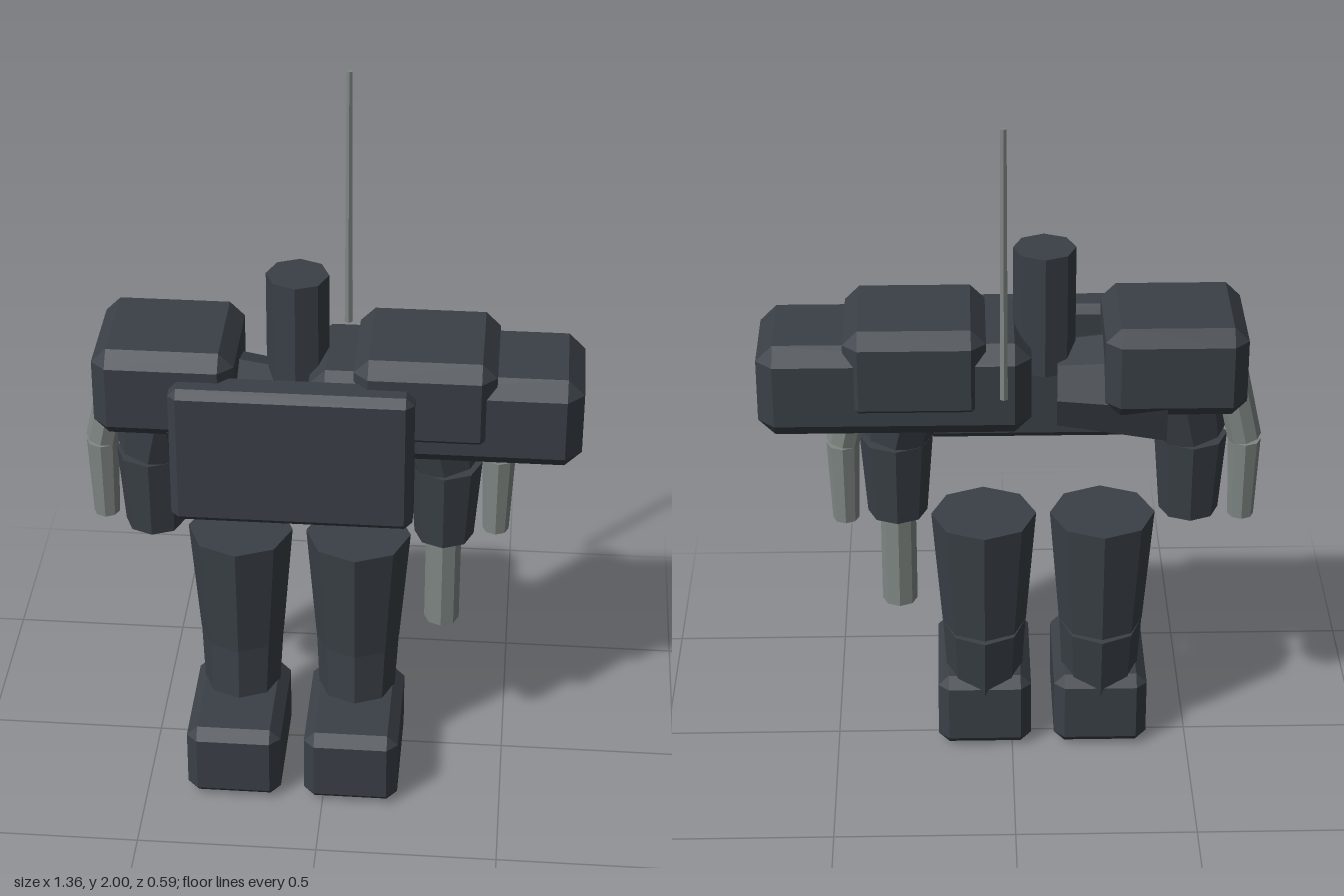
import * as THREE from 'three';
import { ConvexGeometry } from 'three/addons/geometries/ConvexGeometry.js';

const paint = (name, color) => {
  const m = new THREE.MeshStandardMaterial({ color });
  m.name = name;
  return m;
};

export function createModel() {
  const model = new THREE.Group();
  model.name = 'robot';
  const dark = paint('dark slate', 0x3a4047);
  const grey = paint('gunmetal grey', 0x7f8783);
  const red = paint('joint red', 0xb5402f);
  const CX = -0.087; // mirror plane of the body

  const add = (name, geometry, material) => {
    const mesh = new THREE.Mesh(geometry, material);
    mesh.name = name;
    model.add(mesh);
    return mesh;
  };

  // Box given by its limits, every edge cut by a flat bevel c
  const bevelBox = (name, [x0, x1], [y0, y1], [z0, z1], c, material = dark) => {
    const half = [(x1 - x0) / 2, (y1 - y0) / 2, (z1 - z0) / 2];
    const points = [];
    for (const sx of [-1, 1]) for (const sy of [-1, 1]) for (const sz of [-1, 1]) {
      for (let axis = 0; axis < 3; axis++) {
        const p = half.map((h, i) => (i === axis ? h : h - c));
        points.push(new THREE.Vector3(p[0] * sx, p[1] * sy, p[2] * sz));
      }
    }
    add(name, new ConvexGeometry(points), material)
      .position.set((x0 + x1) / 2, (y0 + y1) / 2, (z0 + z1) / 2);
  };

  // Faceted tapered limb between two points
  const limb = (name, from, to, r0, r1, material = dark, sides = 8) => {
    const a = new THREE.Vector3(...from);
    const b = new THREE.Vector3(...to);
    const dir = b.clone().sub(a);
    const geometry = new THREE.CylinderGeometry(r1, r0, dir.length(), sides).toNonIndexed();
    geometry.computeVertexNormals();
    const mesh = add(name, geometry, material);
    mesh.quaternion.setFromUnitVectors(new THREE.Vector3(0, 1, 0), dir.normalize());
    mesh.position.copy(a.add(b).multiplyScalar(0.5));
  };

  // Torso and head
  bevelBox('chestPlate', [-0.413, 0.237], [0.895, 1.305], [0.125, 0.233], 0.022);
  bevelBox('shoulderBeam', [-0.05, 0.68], [1.06, 1.325], [-0.172, 0.162], 0.045);
  limb('collar', [-0.42, 1.14, -0.01], [-0.125, 1.14, 0.005], 0.165, 0.125);
  limb('head', [CX, 1.2, 0], [CX, 1.545, 0], 0.084, 0.084);
  limb('antenna', [0.027, 1.245, -0.285], [0.027, 2, -0.285], 0.012, 0.009, grey, 6);

  for (const s of [-1, 1]) {
    const side = s < 0 ? 'right' : 'left';
    const X = (offset) => CX + s * offset;
    const span = (a, b) => [Math.min(X(a), X(b)), Math.max(X(a), X(b))];

    // Shoulder and arm
    bevelBox(side + 'Shoulder', span(0.158, 0.537), [1.115, 1.372], [-0.182, 0.175], 0.04);
    limb(side + 'UpperArm', [X(0.403), 0.99, 0], [X(0.38), 1.105, 0], 0.098, 0.112);
    limb(side + 'ShoulderJoint', [X(0.38), 1.105, 0], [X(0.365), 1.18, 0], 0.117, 0.12, red);
    limb(side + 'Forearm', [X(0.403), 0.748, 0], [X(0.403), 0.983, 0], 0.082, 0.1);

    // Outer arm tube
    limb(side + 'UpperTube', [X(0.547), 0.988, -0.035], [X(0.49), 1.25, -0.035], 0.046, 0.046, grey);
    limb(side + 'LowerTube', [X(0.545), 0.746, -0.035], [X(0.547), 0.982, -0.035], 0.036, 0.045, grey);

    // Leg and foot
    limb(side + 'Thigh', [X(0.165), 0.383, 0], [X(0.165), 0.732, 0], 0.118, 0.146);
    limb(side + 'Shin', [X(0.165), 0.06, 0.034], [X(0.165), 0.381, 0], 0.1, 0.117);
    bevelBox(side + 'Foot', span(0.033, 0.298), [0, 0.226], [-0.085, 0.295], 0.03);
  }

  // Barrel carried by the left arm
  limb('armBarrel', [0.315, 0.46, 0], [0.315, 0.78, 0], 0.049, 0.049, grey);

  return model;
}
